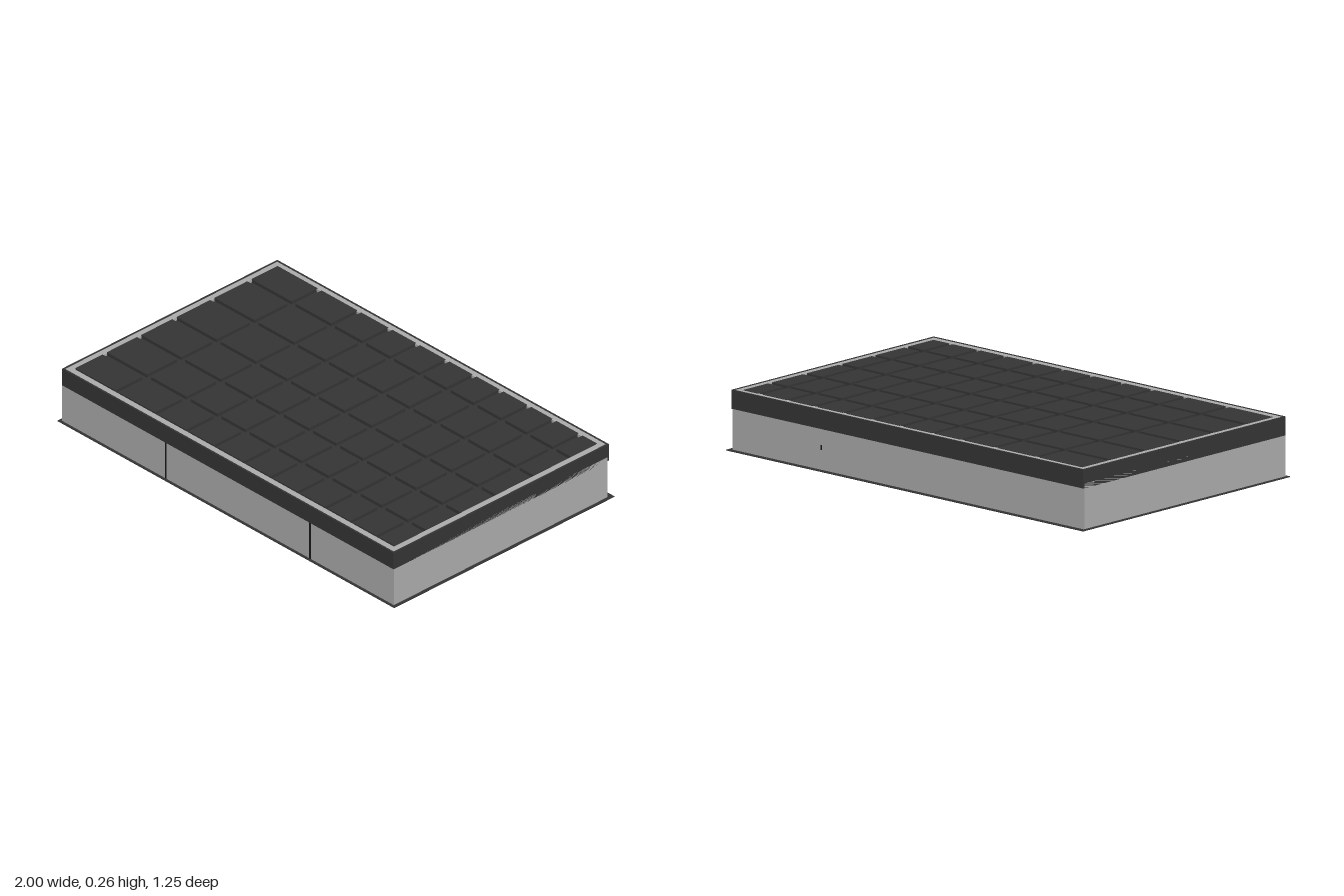
import * as THREE from 'three';

export function createModel() {
  const root = new THREE.Group();
  root.name = 'flatRoofBuilding';
  const mat = (name, color) => {
    const m = new THREE.MeshStandardMaterial({ color });
    m.name = name;
    return m;
  };
  const light = mat('lightGrey', 0xaaaaaa);
  const dark = mat('darkGrey', 0x343434);
  const black = mat('black', 0x161616);

  // Box spanning the given minimum and maximum coordinates
  const box = (name, material, x0, x1, y0, y1, z0, z1, parent = root) => {
    const m = new THREE.Mesh(new THREE.BoxGeometry(x1 - x0, y1 - y0, z1 - z0), material);
    m.position.set((x0 + x1) / 2, (y0 + y1) / 2, (z0 + z1) / 2);
    m.name = name;
    parent.add(m);
    return m;
  };
  // Rectangular ring lying flat, with half sizes for the outer and inner edges
  const ring = (name, material, ox, oz, ix, iz, y0, y1, zc) => {
    const rect = (P, a, b) => new P()
      .moveTo(-a, -b).lineTo(a, -b).lineTo(a, b).lineTo(-a, b).closePath();
    const shape = rect(THREE.Shape, ox, oz);
    shape.holes.push(rect(THREE.Path, ix, iz));
    const g = new THREE.ExtrudeGeometry(shape, { depth: y1 - y0, bevelEnabled: false });
    g.rotateX(-Math.PI / 2);
    const m = new THREE.Mesh(g, material);
    m.position.set(0, y0, zc);
    m.name = name;
    root.add(m);
  };

  // Walls with the pale underside
  box('walls', light, -0.985, 0.985, 0.004, 0.2, -0.6, 0.612);
  // Thin ground skirt around the foot of the walls
  ring('baseSkirt', dark, 1, 0.624, 0.984, 0.604, 0.004, 0.007, 0);

  // Dark parapet band, with a pale coping inside its rim
  ring('parapet', dark, 0.985, 0.61, 0.977, 0.602, 0.18, 0.26, 0.003);
  ring('coping', light, 0.978, 0.603, 0.948, 0.573, 0.2, 0.258, 0.003);
  box('parapetSoffit', dark, -0.984, 0.984, 0.18, 0.184, -0.606, 0.612);

  // Roof deck at the bottom of the grooves
  box('roofDeck', dark, -0.949, 0.949, 0.2, 0.245, -0.574, 0.574);

  // Raised roof panels between the grooves
  const xs = [-0.95, -0.7, -0.465, -0.28, -0.115, 0.06, 0.22, 0.38, 0.545, 0.695, 0.85, 0.947];
  const zs = [-0.575, -0.415, -0.205, 0.01, 0.21, 0.405, 0.571];
  const panels = new THREE.Group();
  panels.name = 'roofPanels';
  root.add(panels);
  const gap = 0.012;
  for (let i = 0; i < xs.length - 1; i++) {
    for (let j = 0; j < zs.length - 1; j++) {
      box('roofPanel', dark,
        xs[i] + (i ? gap : 0), xs[i + 1] - (i < xs.length - 2 ? gap : 0), 0.24, 0.26,
        zs[j] + (j ? gap : 0), zs[j + 1] - (j < zs.length - 2 ? gap : 0), panels);
    }
  }

  // Narrow joints in the front wall and a small vent in the back wall
  for (const x of [-0.37, 0.488]) {
    box('wallJoint', black, x - 0.004, x + 0.004, 0.005, 0.18, 0.608, 0.6135);
  }
  box('rearVent', black, 0.483, 0.491, 0.09, 0.11, -0.602, -0.598);

  // Small foot plates under the floor
  const feet = [[0.79, -0.345], [0.79, 0.07], [0.74, 0.46], [0.06, -0.37],
    [0.06, 0.02], [0.06, 0.4], [-0.77, -0.33], [-0.77, 0.345]];
  for (const [x, z] of feet) {
    box('footPlate', black, x - 0.018, x + 0.018, 0, 0.005, z - 0.05, z + 0.05);
  }
  return root;
}
